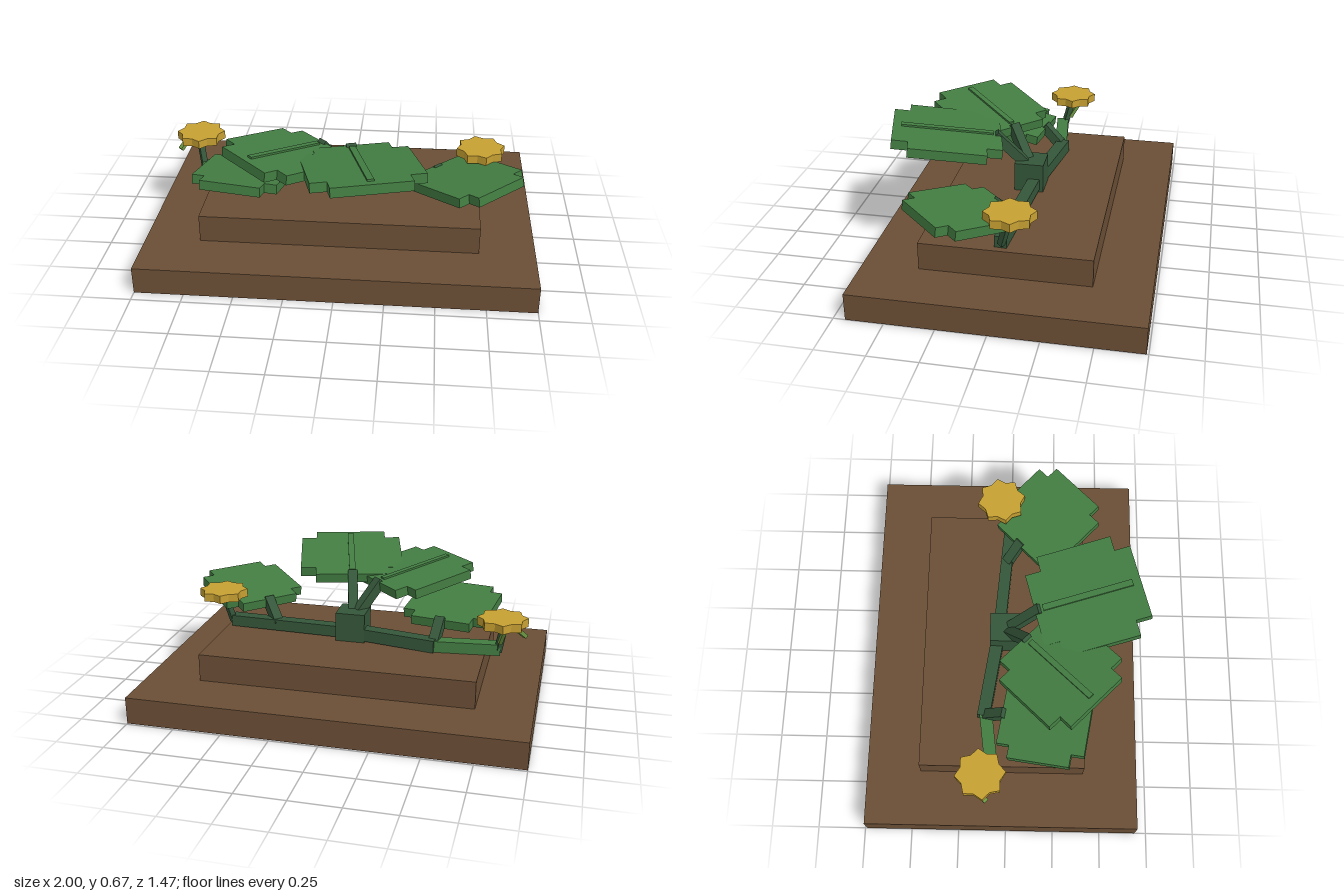
import * as THREE from 'three';

const mat = (name, color) => {
  const m = new THREE.MeshStandardMaterial({ color });
  m.name = name;
  return m;
};

export function createModel() {
  const soil = mat('soil brown', 0x6b4f36);
  const leafGreen = mat('leaf green', 0x437d42);
  const stemGreen = mat('stem green', 0x35573a);
  const tendrilGreen = mat('tendril green', 0x6c9642);
  const gold = mat('flower gold', 0xc6a032);

  const root = new THREE.Group();
  root.name = 'vinePlant';

  const add = (parent, name, geometry, material) => {
    const mesh = new THREE.Mesh(geometry, material);
    mesh.name = name;
    parent.add(mesh);
    return mesh;
  };

  // Axis-aligned box given by its lower and upper corners
  const block = (name, a, b, material) => {
    const size = b.map((v, i) => v - a[i]);
    const mesh = add(root, name, new THREE.BoxGeometry(...size), material);
    mesh.position.set(...a.map((v, i) => (v + b[i]) / 2));
  };

  // Square beam running between two points
  const beam = (name, a, b, w, h, material) => {
    const from = new THREE.Vector3(...a), to = new THREE.Vector3(...b);
    const mesh = add(root, name, new THREE.BoxGeometry(w, h, from.distanceTo(to)), material);
    mesh.position.copy(from).lerp(to, 0.5);
    mesh.lookAt(to);
  };

  // Flat outline extruded upwards, centred on its own height
  const slab = (points, height) => {
    const shape = new THREE.Shape(points.map(([x, y]) => new THREE.Vector2(x, y)));
    const g = new THREE.ExtrudeGeometry(shape, { depth: height, bevelEnabled: false });
    return g.translate(0, 0, -height / 2).rotateX(-Math.PI / 2);
  };

  // Stepped ground
  block('groundSlab', [-1, 0, -0.74], [1, 0.142, 0.69], soil);
  block('soilMound', [-0.715, 0.142, -0.455], [0.715, 0.287, 0.405], soil);

  // Central crown and creeping stems
  block('crown', [-0.078, 0.287, -0.1], [0.078, 0.442, 0.055], stemGreen);
  beam('leftStem', [0, 0.33, -0.055], [0.685, 0.32, 0.0], 0.062, 0.06, stemGreen);
  beam('rightStem', [0, 0.33, -0.055], [-0.46, 0.322, -0.125], 0.066, 0.066, stemGreen);
  beam('rightRunner', [-0.43, 0.32, -0.115], [-0.79, 0.315, -0.07], 0.066, 0.06, leafGreen);

  // Cross-shaped leaves: pivot x/z, direction, distance and height of centre, size
  const tilt = 0.138;
  const leaves = [
    { name: 'largeLeaf', x: 0, z: -0.02, yaw: 0.262, dist: 0.44, y: 0.602, s: 1, rib: true, from: 0.39, to: 0.59, reach: 0.19 },
    { name: 'middleLeaf', x: 0, z: -0.02, yaw: -0.785, dist: 0.402, y: 0.585, s: 0.9, rib: true, from: 0.39, to: 0.575, reach: 0.17 },
    { name: 'rightLeaf', x: -0.45, z: -0.12, yaw: -0.171, dist: 0.322, y: 0.433, s: 0.8, from: 0.32, to: 0.43, reach: 0.11 },
    { name: 'leftLeaf', x: 0.42, z: -0.025, yaw: 0.785, dist: 0.32, y: 0.448, s: 0.81, from: 0.32, to: 0.435, reach: 0.12 },
  ];
  for (const l of leaves) {
    const n = 0.2 * l.s, w = 0.283 * l.s; // narrow and wide half sizes
    const outline = [
      [n, -w], [n, -n], [w, -n], [w, n], [n, n], [n, w],
      [-n, w], [-n, n], [-w, n], [-w, -n], [-n, -n], [-n, -w],
    ];
    const pivot = new THREE.Group();
    pivot.name = l.name;
    pivot.position.set(l.x, l.y, l.z);
    pivot.rotation.y = l.yaw;
    root.add(pivot);
    const tilted = new THREE.Group();
    tilted.name = l.name + 'Blade';
    tilted.position.z = l.dist;
    tilted.rotation.x = -tilt;
    pivot.add(tilted);
    add(tilted, 'blade', slab(outline, 0.05), leafGreen);
    if (l.rib) {
      const rib = add(tilted, 'midrib', new THREE.BoxGeometry(0.034 * l.s, 0.014, 0.48 * l.s), leafGreen);
      rib.position.y = 0.028;
    }
    // Leaf stalk
    const sx = Math.sin(l.yaw), cz = Math.cos(l.yaw);
    beam(l.name + 'Stalk', [l.x, l.from, l.z], [l.x + sx * l.reach, l.to, l.z + cz * l.reach],
      0.052, 0.052, stemGreen);
  }

  // Eight-pointed flowers
  const flower = (name, x, y, z, turn) => {
    const star = [];
    for (let i = 0; i < 16; i++) {
      const a = turn + i * Math.PI / 8, r = i % 2 ? 0.105 : 0.129;
      star.push([r * Math.cos(a), r * Math.sin(a)]);
    }
    add(root, name, slab(star, 0.044), gold).position.set(x, y, z);
  };
  flower('rightFlower', -0.8, 0.486, -0.128, 0.1);
  flower('leftFlower', 0.716, 0.491, -0.055, 0.2);
  beam('rightFlowerStalk', [-0.78, 0.3, -0.08], [-0.81, 0.475, -0.125], 0.03, 0.03, stemGreen);
  beam('leftFlowerStalk', [0.685, 0.31, -0.005], [0.715, 0.475, -0.05], 0.03, 0.03, stemGreen);

  // Small tendrils under the right flower
  beam('tendril', [-0.915, 0.405, -0.1], [-0.86, 0.475, -0.165], 0.026, 0.02, tendrilGreen);
  beam('tendrilBase', [-0.79, 0.36, -0.115], [-0.82, 0.47, -0.18], 0.02, 0.02, tendrilGreen);

  return root;
}
